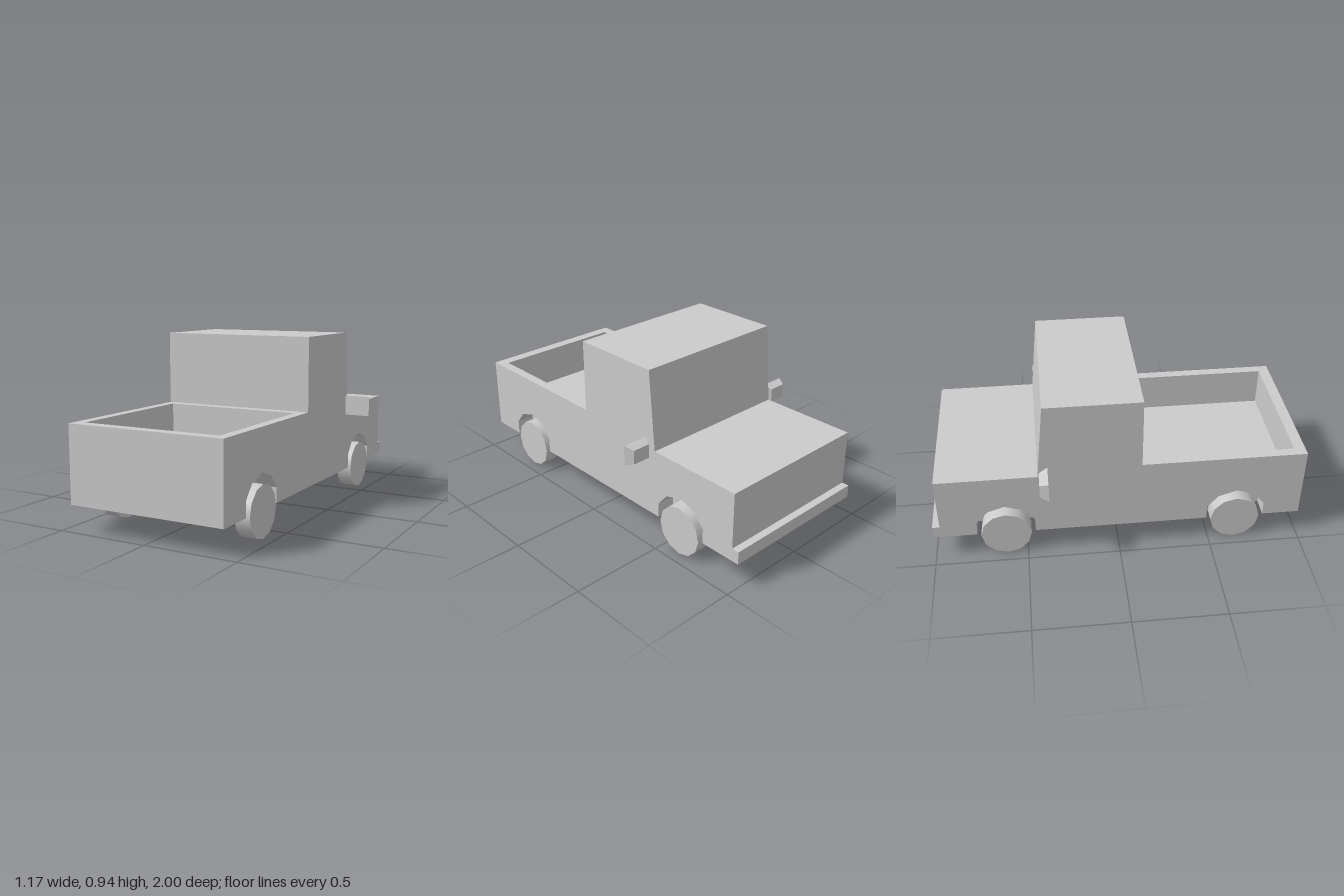
import * as THREE from 'three';

const HALF = 0.433;      // half width of the body
const WELL = 0.33;       // inner side of the wheel wells
const BOTTOM = 0.14, FLOOR = 0.328, RIM = 0.545;
const WHEEL_Z = [0.64, -0.61];

export function createModel() {
  const group = new THREE.Group();
  const flat = new THREE.MeshStandardMaterial({ color: 0xcccccc, flatShading: true });
  const smooth = new THREE.MeshStandardMaterial({ color: 0xcccccc });

  const add = (name, geometry, material = flat) => {
    const mesh = new THREE.Mesh(geometry, material);
    mesh.name = name;
    group.add(mesh);
    return mesh;
  };
  const outline = (points) => new THREE.Shape(points.map(([a, b]) => new THREE.Vector2(a, b)));
  const rect = (x, z0, z1) => [[-x, z0], [x, z0], [x, z1], [-x, z1]];

  // Extrudes a (z, y) side profile across the car from x0 to x1
  const across = (points, x0, x1) =>
    new THREE.ExtrudeGeometry(outline(points), { depth: x1 - x0, bevelEnabled: false })
      .rotateY(-Math.PI / 2).translate(x1, 0, 0);

  // Lower body: solid core between the wheel wells
  add('chassis', across([[-0.96, BOTTOM], [1, BOTTOM], [1, FLOOR], [-0.96, FLOOR]], -WELL, WELL));

  // Lower sides with faceted wheel arches
  const arch = [[-0.157, BOTTOM], [-0.157, 0.22], [-0.1, 0.29], [0, 0.323],
    [0.1, 0.29], [0.157, 0.22], [0.157, BOTTOM]];
  const side = [[-0.96, BOTTOM]];
  for (const z of [...WHEEL_Z].reverse()) side.push(...arch.map(([dz, y]) => [z + dz, y]));
  side.push([1, BOTTOM], [1, FLOOR], [-0.96, FLOOR]);
  add('leftSide', across(side, WELL, HALF));
  add('rightSide', across(side, -HALF, -WELL));

  // Hood and cab with a slightly raked windscreen
  add('cabAndHood', across([[-0.96, FLOOR], [0.12, FLOOR], [0.12, 0.94], [-0.385, 0.94],
    [-0.425, 0.512], [-0.96, 0.512]], -HALF, HALF));

  // Open cargo bed walls
  const bed = outline(rect(HALF, 0.12, 1));
  bed.holes.push(outline(rect(0.38, 0.175, 0.94)));
  add('cargoBed', new THREE.ExtrudeGeometry(bed, { depth: RIM - FLOOR, bevelEnabled: false })
    .rotateX(Math.PI / 2).translate(0, RIM, 0));

  // Bumper below the hood
  add('bumper', new THREE.BoxGeometry(HALF * 2, 0.07, 0.04).translate(0, 0.175, -0.98));

  // Wheels and axles
  WHEEL_Z.forEach((z, i) => {
    const end = i ? 'hoodEnd' : 'bedEnd';
    for (const s of [1, -1]) {
      add(end + (s > 0 ? 'LeftWheel' : 'RightWheel'),
        new THREE.CylinderGeometry(0.135, 0.135, 0.085, 12).rotateZ(Math.PI / 2), smooth)
        .position.set(s * 0.3985, 0.135, z);
    }
    add(end + 'Axle', new THREE.CylinderGeometry(0.037, 0.037, 0.72, 4).rotateZ(Math.PI / 2))
      .position.set(0, 0.135, z);
  });

  // Tapered wing mirrors
  for (const s of [1, -1]) {
    const r = Math.SQRT1_2;
    add(s > 0 ? 'leftMirror' : 'rightMirror',
      new THREE.CylinderGeometry(r, r * 0.69, 1, 4).rotateY(Math.PI / 4).rotateX(Math.PI / 2)
        .scale(0.142, 0.11, 0.046))
      .position.set(s * 0.515, 0.525, -0.395);
  }

  return group;
}
